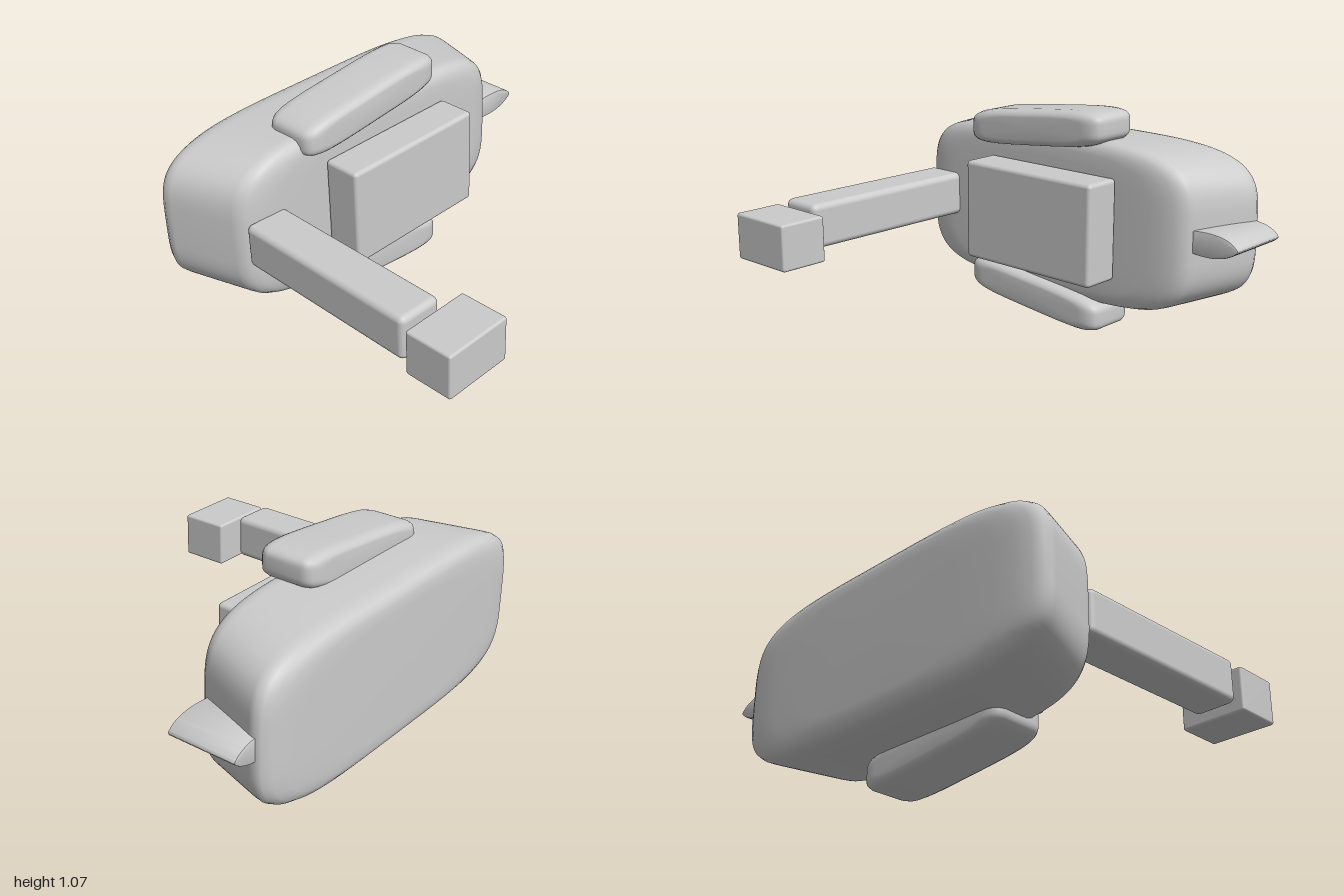
import * as THREE from 'three';
import { RoundedBoxGeometry } from 'three/addons/geometries/RoundedBoxGeometry.js';
import { toCreasedNormals } from 'three/addons/utils/BufferGeometryUtils.js';

const material = new THREE.MeshStandardMaterial({ color: 0xcccccc });

// Closed loft along z from squarish ovals; each section is [z, halfWidth, halfHeight]
function loftZ(sections, power, slope = 0, segments = 96) {
  const positions = [], index = [];
  const curve = (v) => Math.sign(v) * Math.pow(Math.abs(v), 2 / power);
  for (const [z, w, h] of sections) {
    for (let j = 0; j < segments; j++) {
      const a = (j / segments) * Math.PI * 2;
      const x = w * curve(Math.cos(a));
      positions.push(x, h * curve(Math.sin(a)) + slope * x, z);
    }
  }
  const last = sections.length - 1;
  const back = positions.length / 3, front = back + 1;
  positions.push(0, 0, sections[0][0], 0, 0, sections[last][0]);
  for (let j = 0; j < segments; j++) {
    const k = (j + 1) % segments;
    for (let i = 0; i < last; i++) {
      const a = i * segments + j, b = i * segments + k;
      index.push(a, b, b + segments, a, b + segments, a + segments);
    }
    index.push(back, k, j, front, last * segments + j, last * segments + k);
  }
  const geometry = new THREE.BufferGeometry();
  geometry.setAttribute('position', new THREE.Float32BufferAttribute(positions, 3));
  geometry.setIndex(index);
  geometry.computeVertexNormals();
  return geometry;
}

function add(group, name, geometry, x = 0, y = 0, z = 0) {
  const mesh = new THREE.Mesh(geometry, material);
  mesh.name = name;
  mesh.position.set(x, y, z);
  group.add(mesh);
  return mesh;
}

export function createModel() {
  const model = new THREE.Group();
  model.name = 'model';
  const midY = 0.54;

  // Main body: wide at the back, narrowing to the front, with soft rims
  add(model, 'body', loftZ([
    [-0.85, 0.5, 0.28], [-0.847, 0.7, 0.325], [-0.84, 0.81, 0.35], [-0.825, 0.885, 0.368],
    [-0.80, 0.928, 0.379], [-0.77, 0.94, 0.384], [-0.74, 0.932, 0.387],
    [-0.6, 0.882, 0.394], [-0.45, 0.828, 0.4], [-0.42, 0.815, 0.4], [-0.395, 0.79, 0.393],
    [-0.378, 0.75, 0.38], [-0.367, 0.69, 0.36], [-0.362, 0.62, 0.335], [-0.36, 0.48, 0.28],
  ], 4.2), -0.06, midY);

  // Raised panel on the front
  add(model, 'frontPanel', new RoundedBoxGeometry(0.78, 0.49, 0.195, 4, 0.02), -0.01, midY, -0.2625);

  // Slanted side pods, mirrored above and below
  const rim = [[0, 0.76, 0.6], [0.004, 0.86, 0.74], [0.014, 0.93, 0.86], [0.03, 0.975, 0.95], [0.06, 1, 1]];
  const half = rim.map(([d, w, h]) => [-0.145 + d, 0.415 * w, 0.09 * h]);
  const podSections = [...half, ...half.map(([z, w, h]) => [-z, w, h]).reverse()];
  for (const side of [1, -1]) {
    add(model, side > 0 ? 'upperPod' : 'lowerPod', loftZ(podSections, 4.2, 0.105 * side),
      -0.115, midY + 0.418 * side, -0.455);
  }

  // Long arm reaching forward, drifting slightly outwards
  const armGeometry = new RoundedBoxGeometry(0.218, 0.216, 0.965, 5, 0.03);
  armGeometry.applyMatrix4(new THREE.Matrix4().makeRotationY(-0.02));
  add(model, 'arm', armGeometry, -0.76, midY, 0.095);

  // Separate block in front of the arm
  add(model, 'endBlock', new RoundedBoxGeometry(0.34, 0.22, 0.24, 3, 0.012), -0.725, 0.515, 0.725);

  // Pointed fin on the left end
  const fin = new THREE.Shape();
  fin.moveTo(0.755, 0.487);
  fin.bezierCurveTo(0.86, 0.47, 0.945, 0.49, 0.99, 0.528);
  fin.quadraticCurveTo(1.004, 0.54, 0.99, 0.552);
  fin.bezierCurveTo(0.95, 0.595, 0.86, 0.605, 0.755, 0.593);
  fin.closePath();
  const finGeometry = new THREE.ExtrudeGeometry(fin, {
    depth: 0.33, curveSegments: 14, bevelThickness: 0.006, bevelSize: 0.005, bevelOffset: -0.005, bevelSegments: 2,
  });
  add(model, 'fin', toCreasedNormals(finGeometry, 0.6), 0, 0, -0.771);

  return model;
}
